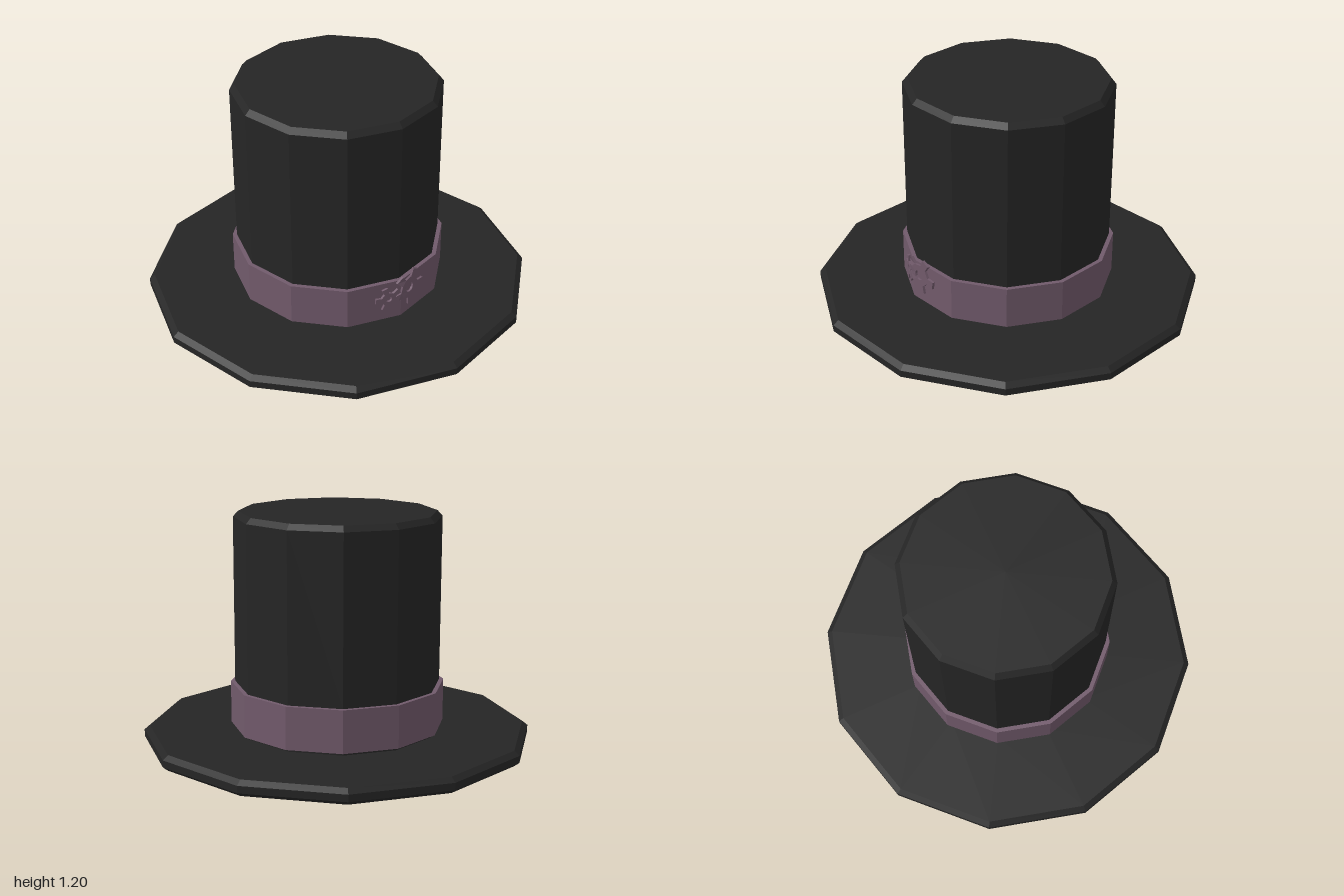
import * as THREE from 'three';

const SIDES = 12;

// Closed twelve-sided ring or cup from a profile of [radius, height]
function lathe(name, profile, material) {
  const points = profile.map(([r, y]) => new THREE.Vector2(r, y));
  const mesh = new THREE.Mesh(new THREE.LatheGeometry(points, SIDES), material);
  mesh.name = name;
  return mesh;
}

// Thin cog lying on the band and bent around its +x corner
function cog(name, z, y, root, tip, hole, turn, material) {
  const teeth = 5, step = (Math.PI * 2) / teeth;
  const outline = [];
  for (let i = 0; i < teeth; i++) {
    const a = turn + i * step;
    for (const [f, r] of [[-0.24, root], [-0.17, tip], [0.17, tip], [0.24, root]]) {
      outline.push(new THREE.Vector2(Math.cos(a + f * step) * r, Math.sin(a + f * step) * r));
    }
  }
  const shape = new THREE.Shape(outline);
  shape.holes.push(new THREE.Path().absarc(0, 0, hole, 0, Math.PI * 2, true));
  const geometry = new THREE.ExtrudeGeometry(shape, { depth: 0.013, bevelEnabled: false, curveSegments: 6 });
  geometry.rotateY(Math.PI / 2).translate(0, y, z);
  const p = geometry.attributes.position;
  const slope = Math.tan(Math.PI / 12);
  for (let i = 0; i < p.count; i++) {
    p.setX(i, p.getX(i) + 0.549 - Math.abs(p.getZ(i)) * slope);
  }
  geometry.computeVertexNormals();
  const mesh = new THREE.Mesh(geometry, material);
  mesh.name = name;
  return mesh;
}

export function createModel() {
  const felt = new THREE.MeshStandardMaterial({ color: 0x252525, flatShading: true });
  felt.name = 'black felt';
  const ribbon = new THREE.MeshStandardMaterial({ color: 0x715a6b, flatShading: true });
  ribbon.name = 'mauve ribbon';

  const hat = new THREE.Group();
  hat.name = 'hat';

  // Wide brim with chamfered rim and open middle
  hat.add(lathe('brim', [
    [0.515, 0.008], [0.972, 0.008], [1, 0.03], [1, 0.066], [0.972, 0.088], [0.515, 0.088], [0.515, 0.008],
  ], felt));

  // Short neck between brim and band
  hat.add(lathe('neck', [
    [0.515, 0.08], [0.527, 0.08], [0.527, 0.105], [0.515, 0.105], [0.515, 0.08],
  ], felt));

  // Band, visible outside and inside
  hat.add(lathe('band', [
    [0.515, 0.103], [0.55, 0.103], [0.55, 0.322], [0.515, 0.322], [0.515, 0.103],
  ], ribbon));

  // Hollow crown with chamfered top
  hat.add(lathe('crown', [
    [0, 1.15], [0.495, 1.15], [0.495, 0.318], [0.528, 0.318], [0.528, 1.175], [0.502, 1.203], [0, 1.203],
  ], felt));

  // Two meshing cogs on the side of the band
  hat.add(cog('largeCog', -0.055, 0.253, 0.062, 0.102, 0.027, 1.07, ribbon));
  hat.add(cog('smallCog', 0.07, 0.228, 0.038, 0.068, 0.016, Math.PI, ribbon));

  // Slight sideways lean
  hat.rotation.z = 0.0065;
  const model = new THREE.Group();
  model.name = 'topHat';
  model.add(hat);
  return model;
}
